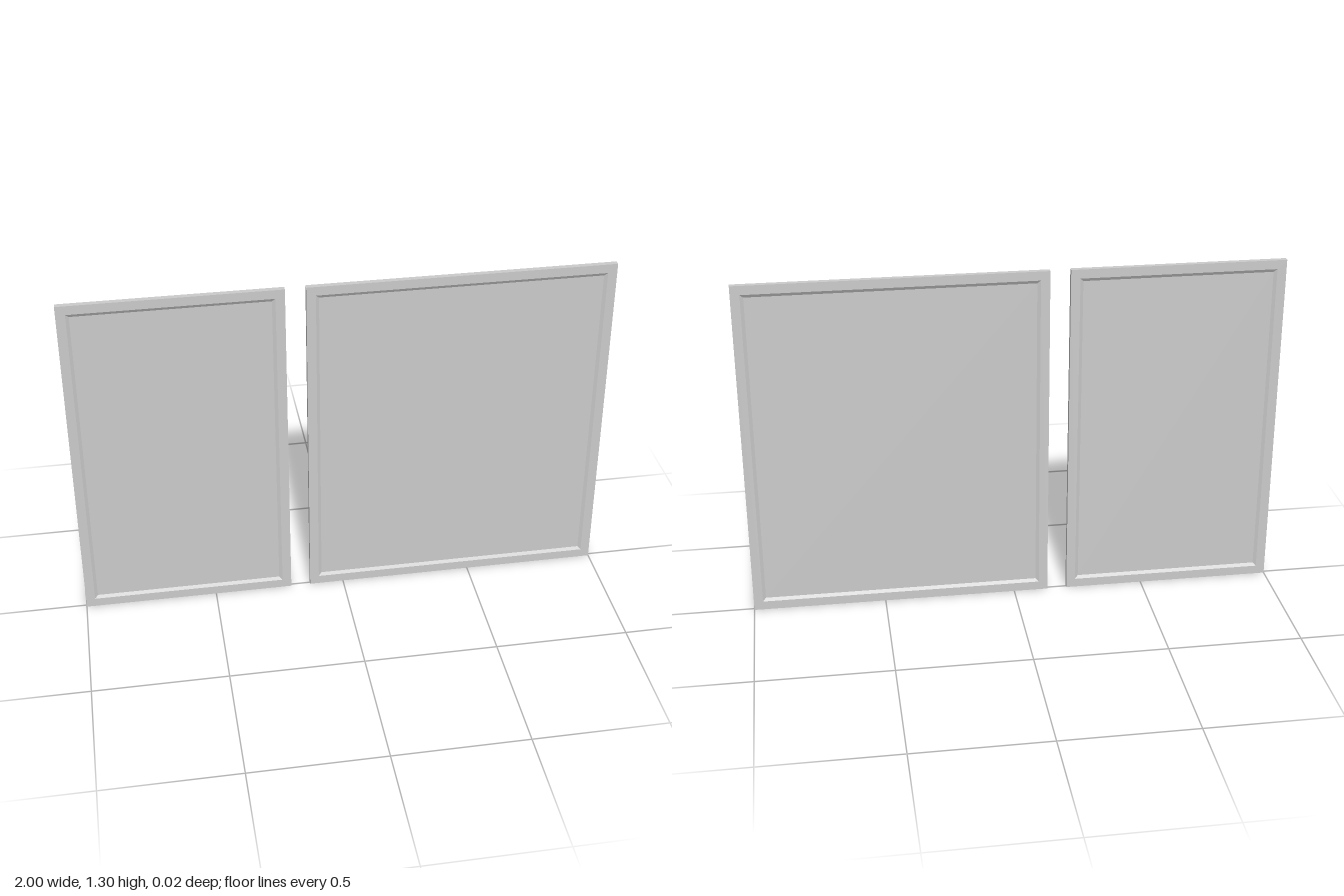
import * as THREE from 'three';

const HEIGHT = 1.304;
const HALF_DEPTH = 0.01;
const PANE_HALF = 0.003;
const RAIL = 0.034;  // flat width of the frame
const LIP = 0.046;   // inset where the sloped lip meets the pane

// Rectangular frame: a rail cross-section of [inset, z] swept round four mitred corners
function frameGeometry(x0, x1) {
  const profile = [
    [LIP, -PANE_HALF], [RAIL, -HALF_DEPTH], [0, -HALF_DEPTH],
    [0, HALF_DEPTH], [RAIL, HALF_DEPTH], [LIP, PANE_HALF],
  ];
  const corner = (k, [inset, z]) => {
    const right = k % 4 === 1 || k % 4 === 2;
    const top = k % 4 >= 2;
    return [right ? x1 - inset : x0 + inset, top ? HEIGHT - inset : inset, z];
  };
  const positions = [];
  for (let k = 0; k < 4; k++) {
    for (let j = 0; j < profile.length - 1; j++) {
      const a = corner(k, profile[j]), b = corner(k + 1, profile[j]);
      const c = corner(k + 1, profile[j + 1]), d = corner(k, profile[j + 1]);
      positions.push(...a, ...b, ...c, ...a, ...c, ...d);
    }
  }
  const geometry = new THREE.BufferGeometry();
  geometry.setAttribute('position', new THREE.Float32BufferAttribute(positions, 3));
  geometry.computeVertexNormals();
  return geometry;
}

function createPanel(name, x0, x1, material) {
  const panel = new THREE.Group();
  panel.name = name;

  const frame = new THREE.Mesh(frameGeometry(x0, x1), material);
  frame.name = 'frame';

  // Thin recessed pane, visible from both sides
  const pane = new THREE.Mesh(
    new THREE.BoxGeometry(x1 - x0 - 2 * LIP, HEIGHT - 2 * LIP, 2 * PANE_HALF), material);
  pane.name = 'pane';
  pane.position.set((x0 + x1) / 2, HEIGHT / 2, 0);

  panel.add(frame, pane);
  return panel;
}

export function createModel() {
  const material = new THREE.MeshStandardMaterial({ color: 0xcccccc, flatShading: true });
  const model = new THREE.Group();
  model.name = 'framedPanels';
  model.add(
    createPanel('narrowPanel', -1, -0.205, material),
    createPanel('widePanel', -0.13, 1, material),
  );
  return model;
}
